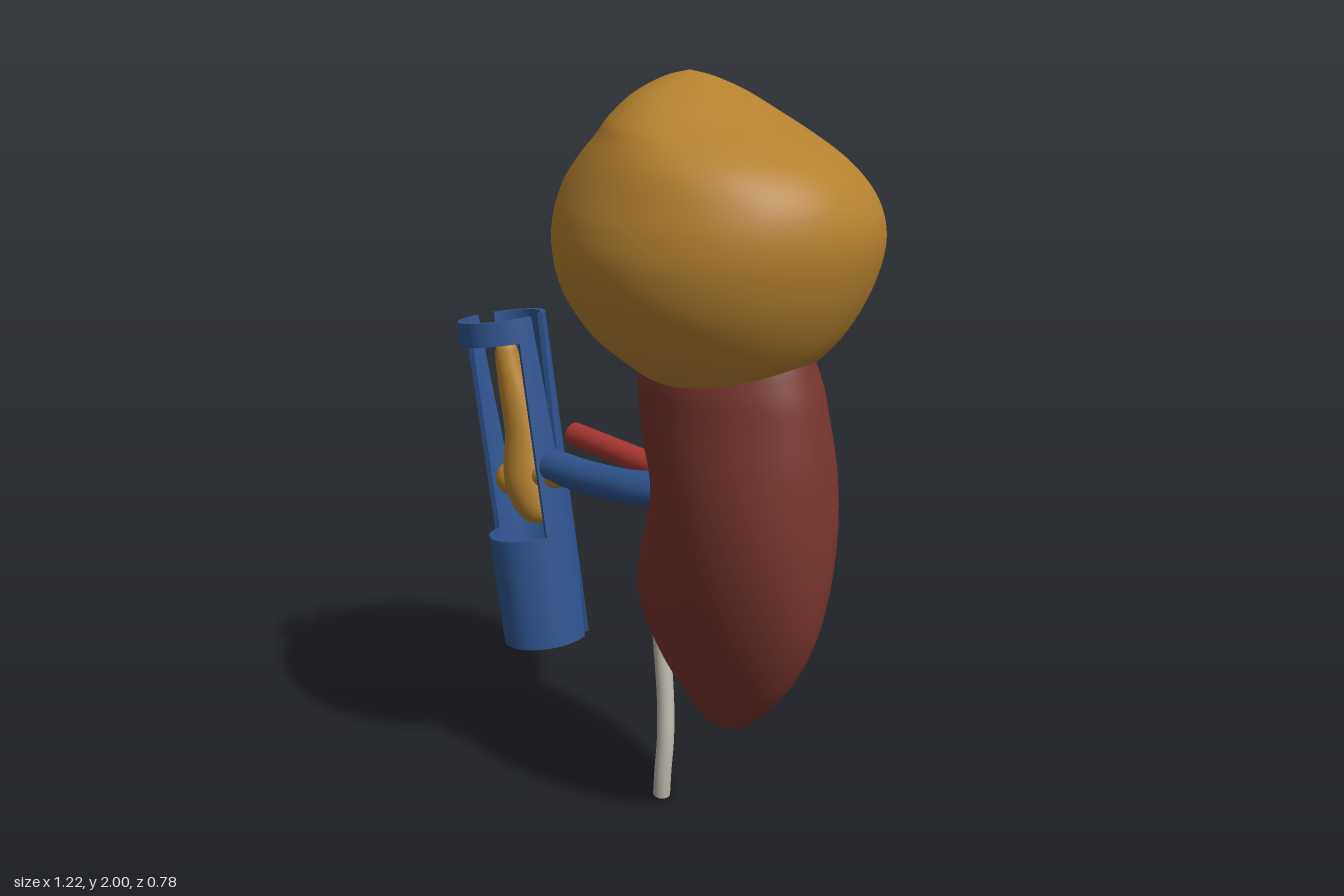
import * as THREE from 'three';
import { toCreasedNormals } from 'three/addons/utils/BufferGeometryUtils.js';

const mat = (name, color, side = THREE.FrontSide) => {
  const m = new THREE.MeshStandardMaterial({ color, side });
  m.name = name;
  return m;
};
const rad = THREE.MathUtils.degToRad;

// Joins closed rings of points (listed bottom to top, counterclockwise from above)
function loft(rings, wallCaps = false) {
  const n = rings[0].length, pos = rings.flat(2), idx = [];
  for (let i = 0; i < rings.length - 1; i++) {
    for (let j = 0; j < n; j++) {
      const k = (j + 1) % n, a = i * n + j, b = i * n + k;
      idx.push(a, b, a + n, b, b + n, a + n);
    }
  }
  // End faces of a curved wall, between its outer and inner arcs
  if (wallCaps) {
    const top = (rings.length - 1) * n;
    for (let j = 0; j < n / 2 - 1; j++) {
      const a = j, b = j + 1, c = n - 2 - j, d = n - 1 - j;
      idx.push(top + a, top + b, top + c, top + a, top + c, top + d, a, c, b, a, d, c);
    }
  }
  const g = new THREE.BufferGeometry();
  g.setAttribute('position', new THREE.Float32BufferAttribute(pos, 3));
  g.setIndex(idx);
  g.computeVertexNormals();
  return g;
}

// Smooth organic body from rows of [y, xMin, xMax, zMin, zMax]
function body(rows, steps = 64, sides = 56) {
  const cx = new THREE.CatmullRomCurve3(rows.map(r => new THREE.Vector3(r[1], r[0], r[2])), false, 'catmullrom', 0.5);
  const cz = new THREE.CatmullRomCurve3(rows.map(r => new THREE.Vector3(r[3], r[0], r[4])), false, 'catmullrom', 0.5);
  const rings = [];
  for (let i = 0; i <= steps; i++) {
    const p = cx.getPoint(i / steps), q = cz.getPoint(i / steps), ring = [];
    for (let j = 0; j < sides; j++) {
      const a = j / sides * Math.PI * 2;
      ring.push([(p.x + p.z) / 2 + (p.z - p.x) / 2 * Math.cos(a), p.y,
        (q.x + q.z) / 2 - (q.z - q.x) / 2 * Math.sin(a)]);
    }
    rings.push(ring);
  }
  return loft(rings);
}

// Curved vessel wall from height s0 to s1; arc(s) gives start and end angle, 0 = front, 90 = +x
function wall(s0, s1, arc, r = 0.12, t = 0.015) {
  const rings = [], n = 40;
  for (let i = 0; i <= 8; i++) {
    const s = s0 + (s1 - s0) * i / 8, [a0, a1] = arc(s), outer = [], inner = [];
    for (let j = 0; j <= n; j++) {
      const a = rad(a0 + (a1 - a0) * j / n);
      outer.push([r * Math.sin(a), s, r * Math.cos(a)]);
      inner.unshift([(r - t) * Math.sin(a), s, (r - t) * Math.cos(a)]);
    }
    rings.push([...outer, ...inner]);
  }
  return toCreasedNormals(loft(rings, true), 0.6);
}

const tube = (pts, r) => new THREE.TubeGeometry(
  new THREE.CatmullRomCurve3(pts.map(p => new THREE.Vector3(...p))), 40, r, 24);

export function createModel() {
  const model = new THREE.Group();
  const ochre = mat('ochre', 0xb5812f);
  const brownRed = mat('brown red', 0x78352f);
  const red = mat('artery red', 0xa83630, THREE.DoubleSide);
  const blue = mat('vein blue', 0x2f5490);
  const blueOpen = blue;
  blue.side = THREE.DoubleSide;
  const grey = mat('warm grey', 0xbab5aa, THREE.DoubleSide);
  const add = (parent, name, geo, material) => {
    const m = new THREE.Mesh(geo, material);
    m.name = name;
    parent.add(m);
    return m;
  };

  // Kidney, notched on its inner side
  add(model, 'kidney', body([
    [0.33, 0.26, 0.27, 0.01, 0.012], [0.34, 0.205, 0.325, -0.025, 0.04], [0.37, 0.165, 0.365, -0.05, 0.06],
    [0.42, 0.12, 0.41, -0.075, 0.085], [0.5, 0.06, 0.47, -0.105, 0.12], [0.6, 0.01, 0.52, -0.14, 0.155],
    [0.7, -0.008, 0.55, -0.165, 0.18], [0.8, 0.015, 0.564, -0.183, 0.196], [0.9, 0.045, 0.567, -0.195, 0.203],
    [1.0, 0.055, 0.562, -0.2, 0.203], [1.1, 0.025, 0.55, -0.2, 0.197], [1.2, 0.0, 0.528, -0.192, 0.185],
    [1.3, 0.0, 0.5, -0.18, 0.17], [1.4, 0.06, 0.44, -0.13, 0.12], [1.46, 0.24, 0.26, -0.01, 0.01],
  ]), brownRed);

  // Large lumpy growth on the upper end
  add(model, 'growth', body([
    [1.258, 0.195, 0.205, -0.005, 0.005], [1.263, 0.11, 0.29, -0.09, 0.09], [1.285, 0.04, 0.37, -0.17, 0.17],
    [1.33, -0.025, 0.455, -0.24, 0.235], [1.4, -0.1, 0.52, -0.315, 0.31], [1.5, -0.162, 0.575, -0.372, 0.37],
    [1.6, -0.187, 0.606, -0.392, 0.39], [1.68, -0.183, 0.609, -0.372, 0.38], [1.75, -0.155, 0.585, -0.325, 0.355],
    [1.81, -0.1, 0.53, -0.27, 0.328], [1.86, -0.045, 0.445, -0.22, 0.295], [1.9, -0.01, 0.36, -0.18, 0.26],
    [1.95, 0.04, 0.275, -0.105, 0.19], [1.985, 0.095, 0.21, -0.02, 0.105], [2.0, 0.15, 0.155, 0.038, 0.042],
  ], 80, 72), ochre);

  // Small gland tucked under the growth
  add(model, 'gland', body([
    [1.14, -0.022, -0.018, -0.052, -0.048], [1.17, -0.042, 0.0, -0.075, -0.025], [1.23, -0.065, 0.02, -0.1, -0.005],
    [1.3, -0.074, 0.04, -0.11, 0.01], [1.36, -0.04, 0.04, -0.09, 0.0], [1.38, 0.0, 0.01, -0.05, -0.04],
  ], 24, 28), ochre);

  // Funnel and drain running down from the notch
  add(model, 'funnel', body([
    [0.685, -0.04, 0.012, -0.058, -0.004], [0.75, -0.038, 0.04, -0.07, 0.005], [0.83, -0.025, 0.08, -0.085, 0.02],
    [0.92, 0.005, 0.12, -0.1, 0.03], [1.0, 0.045, 0.14, -0.08, 0.02], [1.04, 0.09, 0.1, -0.03, -0.02],
  ], 24, 28), brownRed);
  add(model, 'drainTube', tube([[-0.015, 0.7, -0.032], [-0.018, 0.6, -0.035], [-0.008, 0.47, -0.035],
    [0.018, 0.29, -0.025], [0.033, 0.18, -0.01], [0.033, 0.08, 0], [0.028, 0.002, 0]], 0.024), grey);

  // Side vessels
  add(model, 'artery', tube([[-0.31, 0.995, 0], [-0.2, 0.995, 0.008], [-0.08, 0.99, 0.008],
    [0.02, 0.98, -0.005], [0.1, 0.97, -0.02]], 0.032), red);
  add(model, 'sideVein', tube([[-0.315, 0.925, 0.085], [-0.15, 0.93, 0.085], [0, 0.945, 0.08],
    [0.07, 0.955, 0.06], [0.13, 0.965, 0.02]], 0.045), blueOpen);

  // Main vein: tilted pipe, cut open at the front, with tapering slots in its sides
  const vein = new THREE.Group();
  vein.name = 'mainVein';
  vein.position.set(-0.338, 0.405, 0.095);
  vein.rotation.z = Math.atan2(0.152, 0.908);
  model.add(vein);
  const slot = s => Math.max(0, (s - 0.5) / 0.42) * 13;
  const lowSlot = s => Math.max(0, (0.22 - s) / 0.22) * 9;
  add(vein, 'lowerPipe', wall(0, 0.22, s => [122 + lowSlot(s), 482 - lowSlot(s)]), blueOpen);
  add(vein, 'lowerPipeTop', wall(0.22, 0.315, () => [122, 482]), blueOpen);
  add(vein, 'backWall', wall(0.315, 0.92, s => [105 + slot(s), 255 - slot(s)]), blueOpen);
  add(vein, 'leftStrip', wall(0.315, 0.855, s => [70, 105 - slot(s)]), blueOpen);
  add(vein, 'rightStrip', wall(0.315, 0.855, s => [255 + slot(s), 290]), blueOpen);
  add(vein, 'frontBand', wall(0.855, 0.92, s => [-105 + slot(s), 105 - slot(s)]), blueOpen);

  // Plug inside the main vein, reaching into the side vein
  add(model, 'plug', body([
    [0.745, -0.372, -0.366, 0.09, 0.095], [0.755, -0.405, -0.335, 0.06, 0.125], [0.79, -0.445, -0.318, 0.045, 0.145],
    [0.85, -0.472, -0.328, 0.035, 0.155], [0.91, -0.475, -0.345, 0.04, 0.15], [1.0, -0.475, -0.37, 0.05, 0.135],
    [1.1, -0.495, -0.4, 0.055, 0.13], [1.2, -0.508, -0.437, 0.06, 0.125], [1.235, -0.502, -0.45, 0.07, 0.115],
    [1.245, -0.478, -0.474, 0.09, 0.094],
  ], 40, 32), ochre);
  const lump = add(model, 'plugLump', new THREE.SphereGeometry(0.05, 24, 16), ochre);
  lump.position.set(-0.455, 0.855, 0.1);
  add(model, 'plugArm', tube([[-0.39, 0.88, 0.09], [-0.32, 0.895, 0.087], [-0.24, 0.92, 0.085]], 0.036), ochre);

  return model;
}
